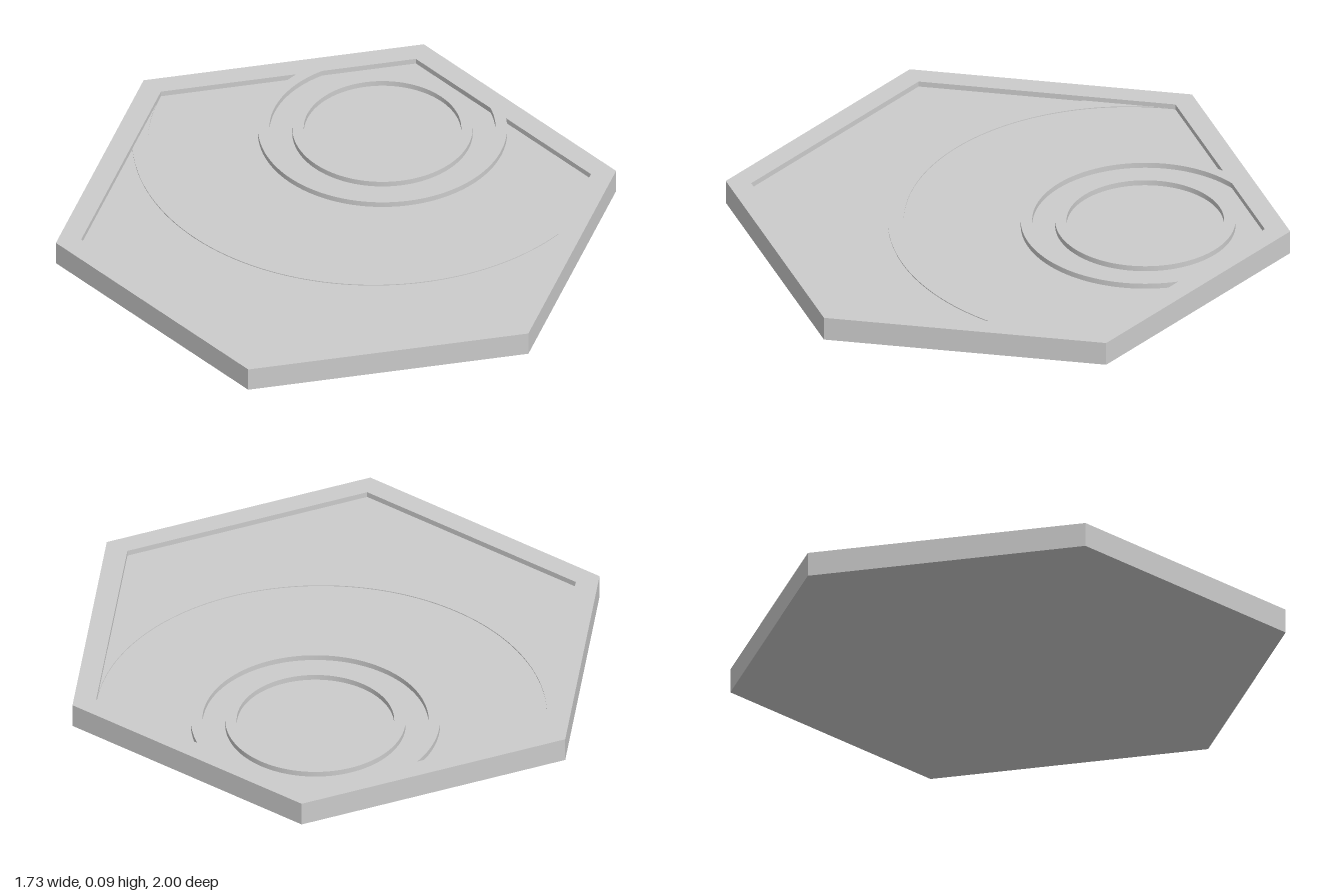
import * as THREE from 'three';
import { toCreasedNormals } from 'three/addons/utils/BufferGeometryUtils.js';

const HEIGHT = 0.088, DEPTH = 0.02, FLOOR = HEIGHT - DEPTH;
const CX = 0.43, CY = 0.233; // centre of the round socket (shape y = -z)
const material = new THREE.MeshStandardMaterial({ color: 0xcccccc });

// Extrudes a plan shape upwards from height y
function slab(name, shape, y, height) {
  const geo = new THREE.ExtrudeGeometry(shape, { depth: height, bevelEnabled: false, curveSegments: 64 });
  geo.rotateX(-Math.PI / 2);
  geo.translate(0, y, 0);
  const mesh = new THREE.Mesh(toCreasedNormals(geo, 0.5), material);
  mesh.name = name;
  return mesh;
}

// Hexagon corner i, counted anticlockwise from the back point
function corner(r, i) {
  const a = Math.PI / 2 + i * Math.PI / 3;
  return new THREE.Vector2(r * Math.cos(a), r * Math.sin(a));
}

const hexagon = () => new THREE.Shape([0, 1, 2, 3, 4, 5].map(i => corner(1, i)));

function angleTo(p) {
  return Math.atan2(p.y - CY, p.x - CX);
}

export function createModel() {
  const group = new THREE.Group();
  group.name = 'hexTile';
  const R = 0.91, apothem = R * Math.cos(Math.PI / 6);

  // Where a circle about the socket meets the inner edges, back and side
  const meet = r => {
    const nx = 0.5, ny = Math.sqrt(3) / 2;
    const d = apothem - (CX * nx + CY * ny), h = Math.sqrt(r * r - d * d);
    const dx = apothem - CX;
    return {
      back: new THREE.Vector2(CX + nx * d - ny * h, CY + ny * d + nx * h),
      side: new THREE.Vector2(apothem, CY - Math.sqrt(r * r - dx * dx)),
    };
  };

  // Solid base
  group.add(slab('base', hexagon(), 0, FLOOR));

  // Raised rim and C-shaped wall, left standing between two pockets
  const rim = hexagon();
  const outer = meet(0.435), inner = meet(0.395);

  const mainPocket = new THREE.Path();
  mainPocket.moveTo(outer.back.x, outer.back.y);
  for (let i = 0; i < 5; i++) {
    const c = corner(R, i);
    mainPocket.lineTo(c.x, c.y);
  }
  mainPocket.lineTo(outer.side.x, outer.side.y);
  mainPocket.absarc(CX, CY, 0.435, angleTo(outer.side), angleTo(outer.back), true);

  const socketPocket = new THREE.Path();
  const c5 = corner(R, 5);
  socketPocket.moveTo(inner.side.x, inner.side.y);
  socketPocket.lineTo(c5.x, c5.y);
  socketPocket.lineTo(inner.back.x, inner.back.y);
  socketPocket.absarc(CX, CY, 0.395, angleTo(inner.back), angleTo(inner.side), false);

  rim.holes.push(mainPocket, socketPocket);
  group.add(slab('rim', rim, FLOOR, DEPTH));

  // Round ridge inside the socket
  const ring = new THREE.Shape().absarc(CX, CY, 0.315, 0, Math.PI * 2, false);
  ring.holes.push(new THREE.Path().absarc(CX, CY, 0.275, 0, Math.PI * 2, true));
  group.add(slab('socketRing', ring, FLOOR, DEPTH));

  // Faint wide arc across the floor, its ends running under the rim
  const t = 0.43, ax = t * Math.cos(Math.PI / 6), ay = t / 2;
  const from = Math.PI * 2 / 3, to = Math.PI * 5 / 3;
  const arc = new THREE.Shape();
  arc.absarc(ax, ay, 0.843, from, to, false);
  arc.absarc(ax, ay, 0.788, to, from, true);
  group.add(slab('floorArc', arc, FLOOR, 0.003));

  return group;
}
